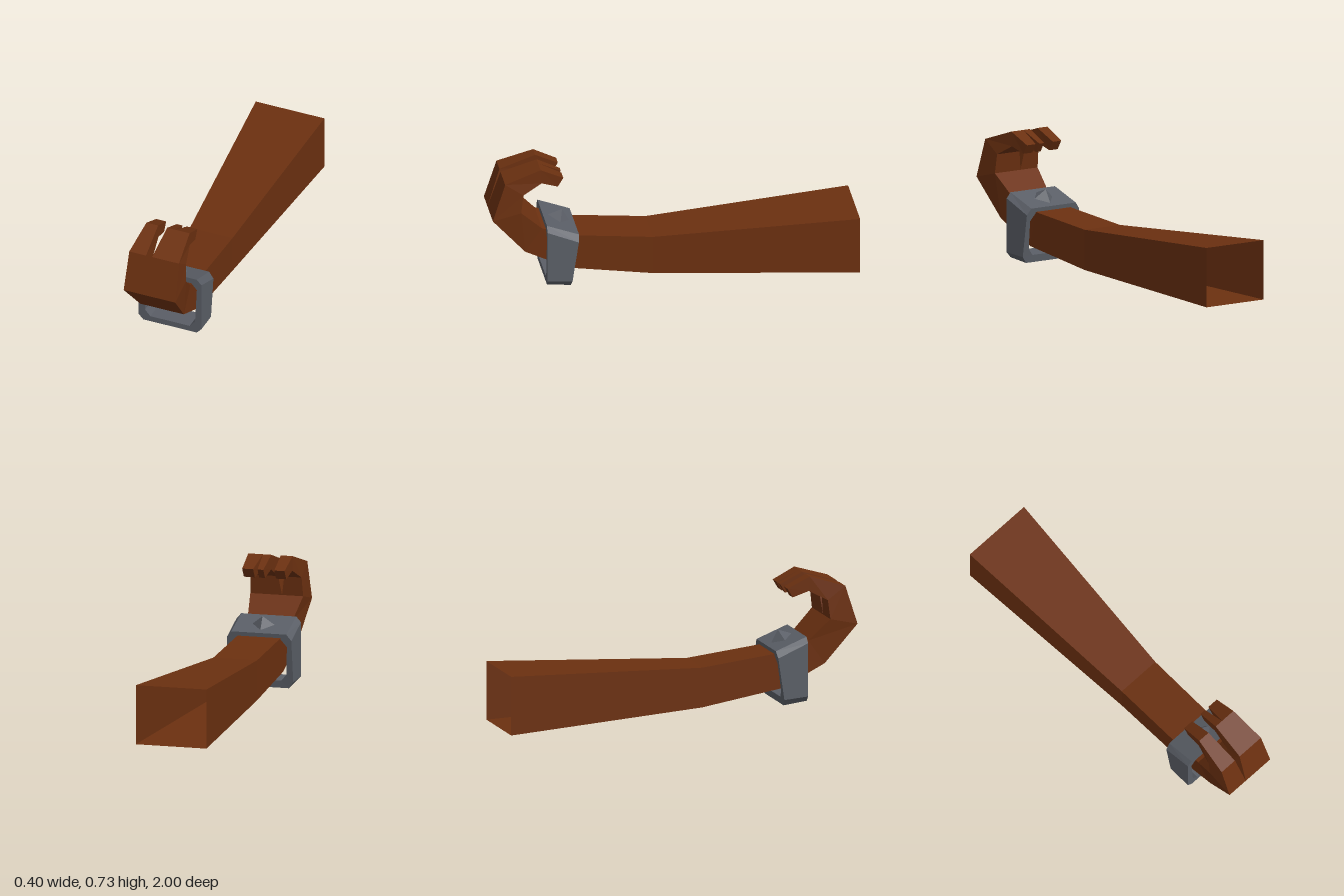
import * as THREE from 'three';

// Joins a run of corner loops with flat quads; options cap the last loop or join it to the first
function loft(loops, { cap = false, closed = false } = {}) {
  const pos = [];
  const quad = (a, b, c, d) => pos.push(...a, ...b, ...c, ...a, ...c, ...d);
  const runs = closed ? loops.length : loops.length - 1;
  for (let i = 0; i < runs; i++) {
    const s = loops[i], t = loops[(i + 1) % loops.length], n = s.length;
    for (let k = 0; k < n; k++) quad(s[k], s[(k + 1) % n], t[(k + 1) % n], t[k]);
  }
  if (cap) quad(...loops[loops.length - 1]);
  const geo = new THREE.BufferGeometry();
  geo.setAttribute('position', new THREE.Float32BufferAttribute(pos, 3));
  geo.computeVertexNormals();
  return geo;
}

// Four-cornered section: outer [z, y], inner [z, y], x range
const section = ([oz, oy], [iz, iy], x0, x1) =>
  [[x0, oy, oz], [x1, oy, oz], [x1, iy, iz], [x0, iy, iz]];

// Eight-cornered ring with clipped corners; z runs from zb (bottom) to zt (top)
function ring(wb, wt, yb, yt, zb, zt, cx, cy) {
  const half = [[wb - cx, yb], [wb, yb + cy], [wt, yt - cy], [wt - cx, yt]];
  const all = [...half, ...half.slice().reverse().map(([x, y]) => [-x, y])];
  return all.map(([x, y]) => [x, y, zb + (zt - zb) * (y - yb) / (yt - yb)]);
}

export function createModel() {
  const brown = new THREE.MeshStandardMaterial({ color: 0x6b3010, flatShading: true, side: THREE.DoubleSide });
  brown.name = 'brown';
  const grey = new THREE.MeshStandardMaterial({ color: 0x5a5e66, flatShading: true });
  grey.name = 'grey';

  const model = new THREE.Group();
  model.name = 'arm';
  const add = (name, geo, mat) => {
    const mesh = new THREE.Mesh(geo, mat);
    mesh.name = name;
    model.add(mesh);
    return mesh;
  };

  // Arm and palm, open at the shoulder
  add('armAndPalm', loft([
    section([-1, 0], [-1, 0.325], -0.2, 0.2),
    section([0.12, 0.052], [0.12, 0.272], -0.124, 0.124),
    section([0.58, 0.123], [0.53, 0.315], -0.122, 0.122),
    section([0.82, 0.243], [0.727, 0.376], -0.127, 0.127),
    section([1, 0.453], [0.845, 0.49], -0.15, 0.15),
  ]), brown);

  // Curled fingers: joints shared along the curl, x ranges per finger
  const joints = [
    [[1, 0.453], [0.845, 0.49]],
    [[0.932, 0.667], [0.832, 0.595]],
    [[0.735, 0.73], [0.73, 0.65]],
    [[0.61, 0.67], [0.64, 0.62]],
  ];
  const finger = (name, from, ranges, cap) => add(name,
    loft(ranges.map(([a, b], i) => section(...joints[from + i], a, b)), { cap }), brown);
  finger('smallFinger', 0, [[-0.15, -0.03], [-0.145, -0.047], [-0.126, -0.058], [-0.12, -0.062]], true);
  finger('wideFinger', 0, [[-0.03, 0.15], [-0.012, 0.145], [-0.005, 0.126]], false);
  finger('innerFingertip', 2, [[-0.005, 0.042], [0, 0.033]], true);
  finger('outerFingertip', 2, [[0.042, 0.126], [0.058, 0.12]], true);

  // Wrist band, slanted at the back
  add('wristBand', loft([
    ring(0.183, 0.183, 0.035, 0.338, 0.575, 0.53, 0.027, 0.035),
    ring(0.183, 0.183, 0.05, 0.405, 0.706, 0.706, 0.027, 0.03),
    ring(0.146, 0.156, 0.083, 0.372, 0.706, 0.706, 0.031, 0.037),
    ring(0.146, 0.156, 0.075, 0.305, 0.57, 0.535, 0.031, 0.037),
  ], { closed: true }), grey);

  // Stud on top of the band
  const stud = add('bandStud', new THREE.ConeGeometry(0.066, 0.055, 4), grey);
  stud.position.set(0, 0.393, 0.607);
  stud.rotation.x = -0.37;

  return model;
}
